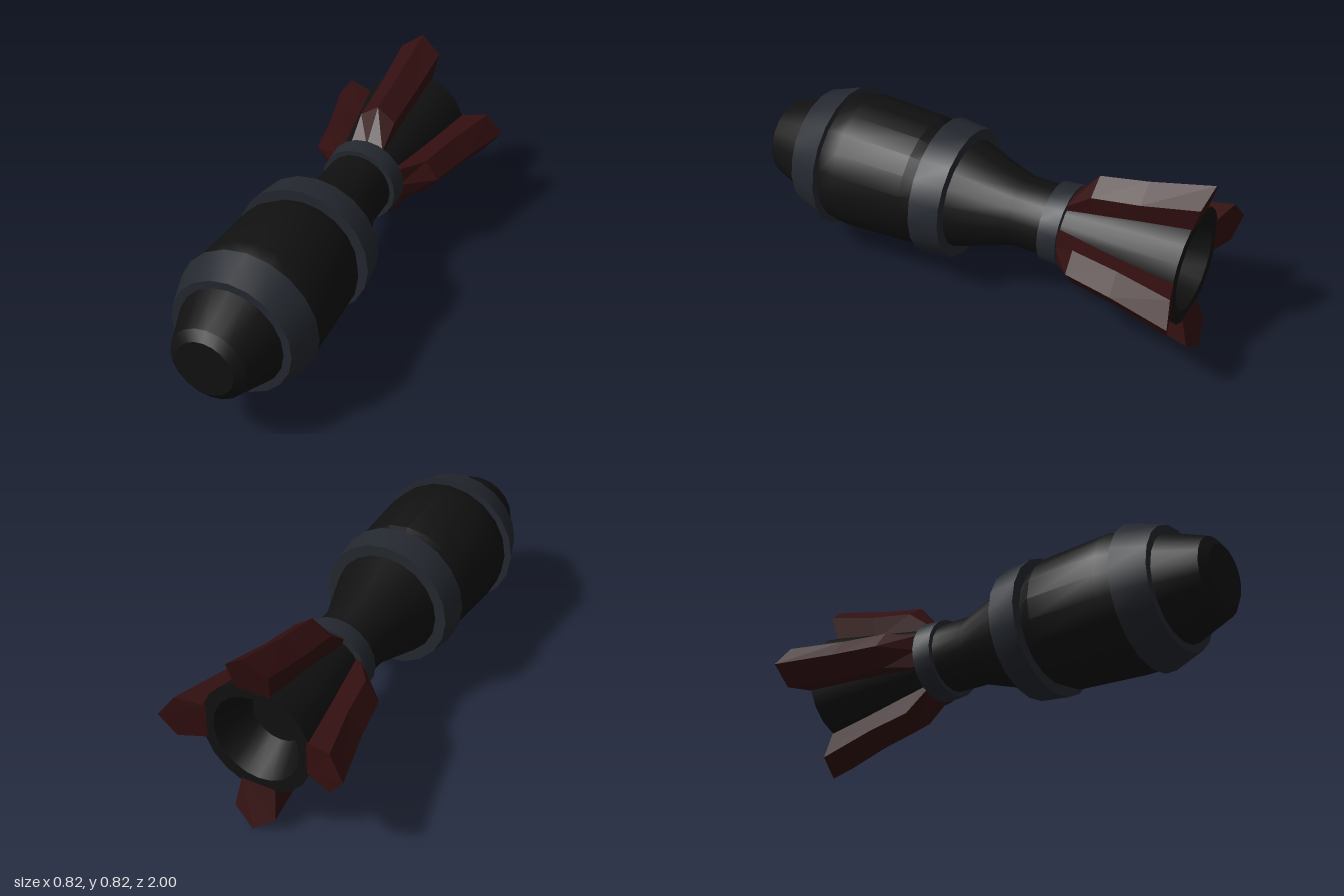
import * as THREE from 'three';
import { toCreasedNormals } from 'three/addons/utils/BufferGeometryUtils.js';

const AXIS_Y = 0.41;
const SIDES = 20;

const mat = (color) => new THREE.MeshStandardMaterial({ color });

// Turned part along z; profile is a list of [z, radius] from back to front
function turned(name, profile, material) {
  const pts = profile.map(([z, r]) => new THREE.Vector2(r, z));
  const geo = new THREE.LatheGeometry(pts, SIDES).rotateX(Math.PI / 2);
  const mesh = new THREE.Mesh(toCreasedNormals(geo, 0.5), material);
  mesh.name = name;
  return mesh;
}

// Raised band with a closed section
function band(name, zBack, rBack, zFront, rFront, innerBack, innerFront, material) {
  return turned(name, [
    [zBack, innerBack], [zBack, rBack], [zFront, rFront],
    [zFront, innerFront], [zBack, innerBack],
  ], material);
}

// Ridged fin pointing up, lofted from five-cornered sections
function finGeometry() {
  // ridge z, ridge r, edge z, edge r, edge half width, base z, base r, base half width
  const stations = [
    [-0.41, 0.16, -0.41, 0.15, 0.075, -0.41, 0.11, 0.07],
    [-0.52, 0.293, -0.52, 0.235, 0.08, -0.52, 0.13, 0.07],
    [-0.73, 0.337, -0.73, 0.275, 0.084, -0.73, 0.17, 0.07],
    [-1.0, 0.41, -0.978, 0.342, 0.092, -0.943, 0.215, 0.075],
  ];
  const pos = [];
  for (const [rz, rr, ez, er, ew, bz, br, bw] of stations) {
    pos.push(-bw, br, bz, -ew, er, ez, 0, rr, rz, ew, er, ez, bw, br, bz);
  }
  const idx = [];
  for (let s = 0; s < stations.length - 1; s++) {
    for (let i = 0; i < 5; i++) {
      const a = s * 5 + i, b = s * 5 + (i + 1) % 5;
      idx.push(a, b, a + 5, b, b + 5, a + 5);
    }
  }
  const e = (stations.length - 1) * 5;
  for (let i = 1; i < 4; i++) {
    idx.push(0, i + 1, i);
    idx.push(e, e + i, e + i + 1);
  }
  // Seen from the front, the section runs clockwise, so reverse every face
  for (let i = 0; i < idx.length; i += 3) [idx[i + 1], idx[i + 2]] = [idx[i + 2], idx[i + 1]];
  const geo = new THREE.BufferGeometry();
  geo.setAttribute('position', new THREE.Float32BufferAttribute(pos, 3));
  geo.setIndex(fixWinding(pos, idx));
  const flat = geo.toNonIndexed();
  flat.computeVertexNormals();
  return flat;
}

// Flip the whole shell if its signed volume is negative
function fixWinding(pos, idx) {
  const v = (i) => new THREE.Vector3().fromArray(pos, i * 3);
  let volume = 0;
  for (let i = 0; i < idx.length; i += 3) {
    volume += v(idx[i]).dot(v(idx[i + 1]).cross(v(idx[i + 2])));
  }
  return volume < 0 ? idx.slice().reverse() : idx;
}

export function createModel() {
  const bodyMat = mat(0x111111);
  const bandMat = mat(0x24282f);
  const finMat = mat(0x330f10);

  const model = new THREE.Group();
  model.name = 'finnedBomb';
  const core = new THREE.Group();
  core.name = 'core';
  core.position.y = AXIS_Y;
  model.add(core);

  // Nose, barrel and waist
  core.add(turned('body', [
    [-0.4, 0], [-0.4, 0.15], [-0.18, 0.152], [0.07, 0.235], [0.2, 0.25],
    [0.26, 0.28], [0.58, 0.295], [0.65, 0.283], [0.72, 0.25], [0.8, 0.228],
    [0.97, 0.165], [1.0, 0.125], [1.0, 0],
  ], bodyMat));

  // Flared tail with a recessed end
  core.add(turned('tailCone', [
    [-0.78, 0], [-0.78, 0.12], [-0.945, 0.19], [-0.945, 0.245],
    [-0.41, 0.15], [-0.38, 0.15],
  ], bodyMat));

  // Bands
  core.add(band('frontBand', 0.66, 0.31, 0.8, 0.262, 0.27, 0.22, bandMat));
  core.add(band('middleBand', 0.07, 0.283, 0.2, 0.297, 0.225, 0.24, bandMat));
  core.add(band('tailBand', -0.415, 0.178, -0.33, 0.172, 0.14, 0.14, bandMat));

  // Four fins around the tail
  const geo = finGeometry();
  ['topFin', 'rightFin', 'bottomFin', 'leftFin'].forEach((name, i) => {
    const fin = new THREE.Mesh(geo, finMat);
    fin.name = name;
    fin.rotation.z = i * Math.PI / 2;
    core.add(fin);
  });

  return model;
}
